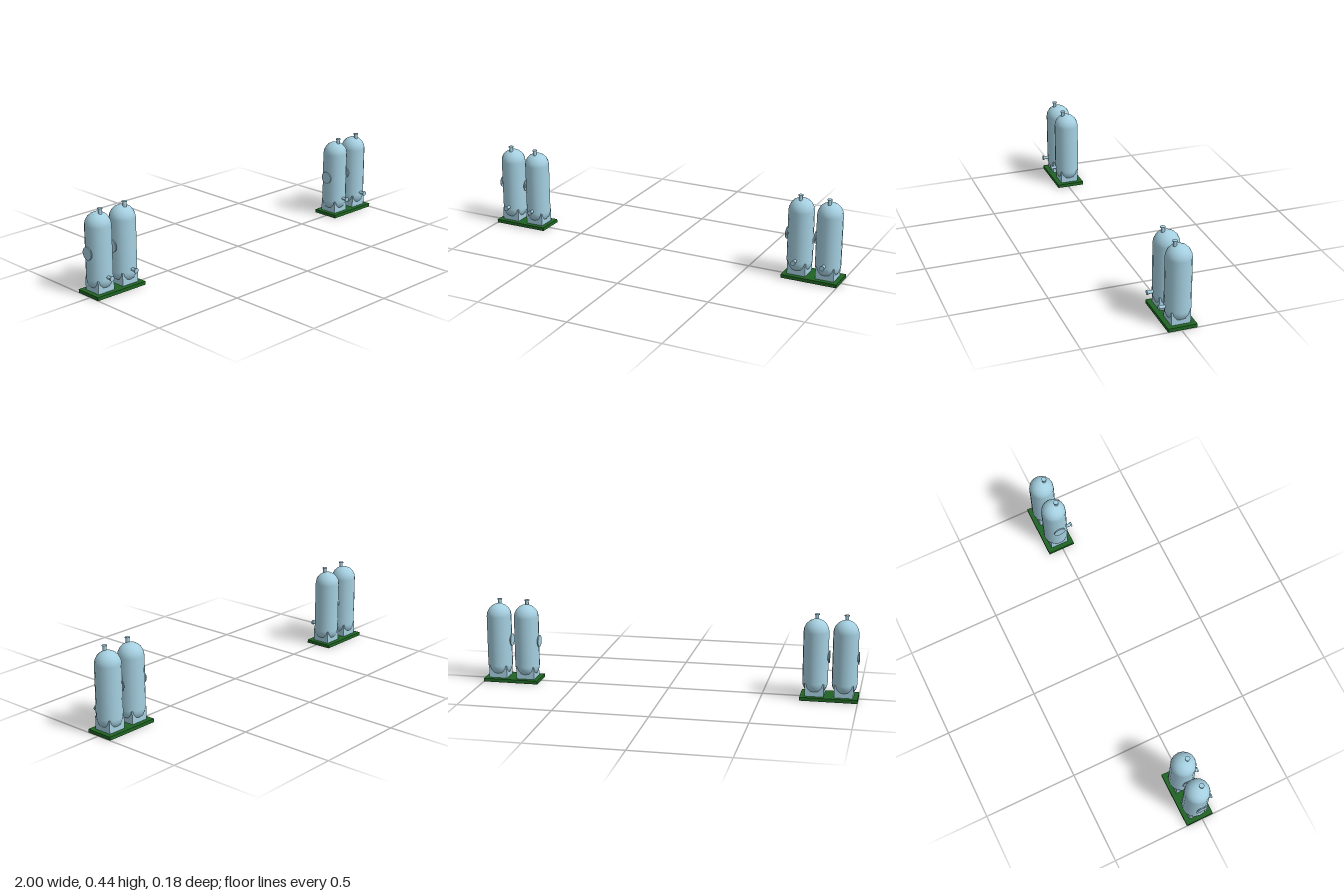
import * as THREE from 'three';

const steel = new THREE.MeshStandardMaterial({ name: 'pale blue steel', color: 0xa5d0e1 });
const green = new THREE.MeshStandardMaterial({ name: 'dark green', color: 0x1f6423 });

const R = 0.066;            // vessel radius
const LOW = 0.085;          // start of the straight shell
const HIGH = 0.353;         // end of the straight shell

function add(parent, name, geometry, material, x = 0, y = 0, z = 0) {
  const mesh = new THREE.Mesh(geometry, material);
  mesh.name = name;
  mesh.position.set(x, y, z);
  parent.add(mesh);
  return mesh;
}

// Pipe along +y ending in a flange whose outer face lies at the given length
function nozzle(name, length, pipeRadius, flangeRadius, thickness) {
  const group = new THREE.Group();
  group.name = name;
  add(group, name + 'Pipe', new THREE.CylinderGeometry(pipeRadius, pipeRadius, length - thickness, 16),
    steel, 0, (length - thickness) / 2);
  add(group, name + 'Flange', new THREE.CylinderGeometry(flangeRadius, flangeRadius, thickness, 16),
    steel, 0, length - thickness / 2);
  return group;
}

function tank() {
  const group = new THREE.Group();
  group.name = 'tank';

  // Straight shell with a domed head at each end
  add(group, 'shell', new THREE.CylinderGeometry(R, R, HIGH - LOW, 16, 1, true), steel, 0, (HIGH + LOW) / 2);
  add(group, 'topHead', new THREE.SphereGeometry(R, 16, 5, 0, Math.PI * 2, 0, Math.PI / 2), steel, 0, HIGH);
  add(group, 'bottomHead', new THREE.SphereGeometry(R, 16, 5, 0, Math.PI * 2, Math.PI / 2, Math.PI / 2), steel, 0, LOW);

  // Square support that the bottom head bulges through
  add(group, 'support', new THREE.BoxGeometry(0.098, 0.07, 0.098), steel, 0, 0.0505);

  // Outlet on the top, inlet low on the front, manway on the side
  const outlet = nozzle('outlet', 0.061, 0.0095, 0.013, 0.005);
  outlet.position.set(0, 0.38, 0.0195);
  const inlet = nozzle('inlet', 0.047, 0.0085, 0.013, 0.006);
  inlet.position.set(0, 0.1, 0.05);
  inlet.rotation.x = Math.PI / 2;
  const manway = nozzle('manway', 0.022, 0.022, 0.033, 0.005);
  manway.position.set(-0.05, 0.222, 0);
  manway.rotation.z = Math.PI / 2;
  group.add(outlet, inlet, manway);
  return group;
}

export function createModel() {
  const model = new THREE.Group();
  model.name = 'tankPairs';

  // Two skids, slightly staggered in depth, each carrying two tanks
  for (const [name, x, z] of [['rightSkid', -0.851, -0.014], ['leftSkid', 0.851, -0.007]]) {
    const skid = new THREE.Group();
    skid.name = name;
    skid.position.set(x, 0, z);
    add(skid, 'basePlate', new THREE.BoxGeometry(0.298, 0.018, 0.149), green, 0, 0.009);
    for (const side of [-1, 1]) {
      const t = tank();
      t.position.x = side * 0.076;
      skid.add(t);
    }
    model.add(skid);
  }
  return model;
}
